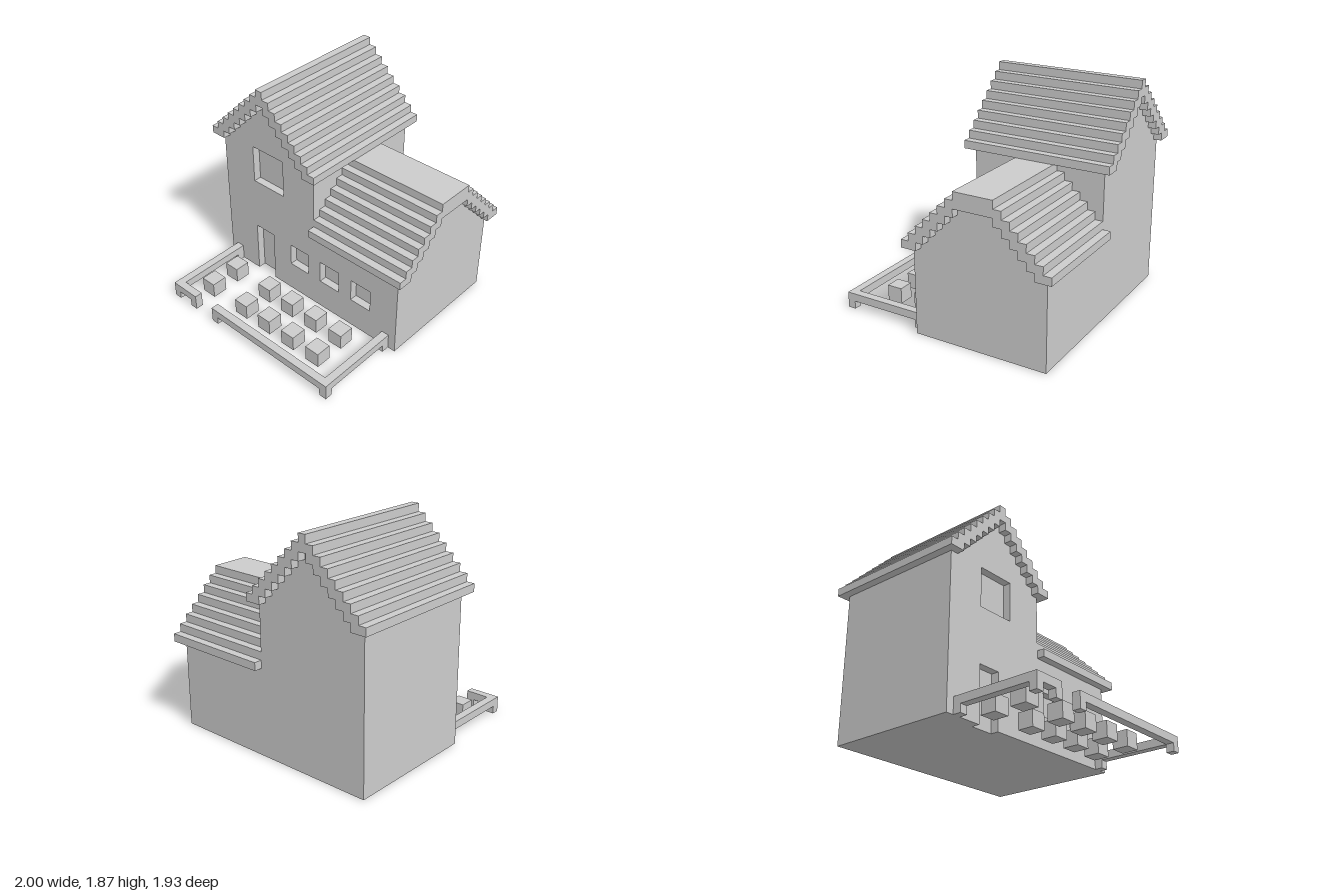
import * as THREE from 'three';

// Everything sits on a block grid: 1 block = 1/15 unit.
const U = 1 / 15;
const material = new THREE.MeshStandardMaterial({ color: 0xcccccc, flatShading: true });

// Closed outline made of one-block columns, each with its own bottom and top.
function columnShape(x0, tops, bottoms) {
  const pts = [];
  const add = (x, y) => {
    const last = pts[pts.length - 1];
    if (!last || last.x !== x || last.y !== y) pts.push(new THREE.Vector2(x, y));
  };
  const n = tops.length;
  for (let i = 0; i < n; i++) {
    add(x0 + i, bottoms[i]);
    add(x0 + i + 1, bottoms[i]);
  }
  for (let i = n - 1; i >= 0; i--) {
    add(x0 + i + 1, tops[i]);
    add(x0 + i, tops[i]);
  }
  return new THREE.Shape(pts);
}

function rectHole(x0, x1, y0, y1) {
  return new THREE.Path([[x0, y0], [x0, y1], [x1, y1], [x1, y0]].map(p => new THREE.Vector2(...p)));
}

// Stepped roof: heights climb one block per column up to `cap`, then mirror.
function roofProfile(count, cap, eave) {
  const steps = Array.from({ length: count }, (_, i) => Math.min(i, count - 1 - i, cap));
  return {
    top: steps.map(s => eave + 1 + s),
    under: steps.map(s => Math.max(eave, eave - 1 + s)),
  };
}

export function createModel() {
  const model = new THREE.Group();
  model.name = 'cottage';

  const addMesh = (name, geometry, parent = model) => {
    geometry.scale(U, U, U);
    const mesh = new THREE.Mesh(geometry, material);
    mesh.name = name;
    parent.add(mesh);
  };
  const extrude = (shape, depth) => new THREE.ExtrudeGeometry(shape, { depth, bevelEnabled: false });
  const box = (name, x0, x1, y0, y1, z0, z1, parent) => {
    const g = new THREE.BoxGeometry(x1 - x0, y1 - y0, z1 - z0);
    g.translate((x0 + x1) / 2, (y0 + y1) / 2, (z0 + z1) / 2);
    addMesh(name, g, parent);
  };
  const zeros = a => a.map(() => 0);

  const main = roofProfile(17, 8, 19);
  const wing = roofProfile(19, 7, 11);

  // Main house: solid gabled body and stepped roof, running front to back
  const gable = main.under.slice(1, -1);
  addMesh('mainBody', extrude(columnShape(-14, gable, zeros(gable)), 16).translate(0, 0, -13.5));
  addMesh('mainRoof', extrude(columnShape(-15, main.top, main.under), 19).translate(0, 0, -14.5));

  // Side wing: same idea turned to run along x
  const side = wing.under.slice(2, -1);
  addMesh('wingBody', extrude(columnShape(-2.5, side, zeros(side)), 13).rotateY(Math.PI / 2).translate(1, 0, 0));
  addMesh('wingRoof', extrude(columnShape(-4.5, wing.top, wing.under), 14).rotateY(Math.PI / 2).translate(1, 0, 0));

  // Front wall, one block thick, leaving the door and windows as recesses
  const frontTops = [...gable, ...Array(13).fill(11)];
  const frontBottoms = frontTops.map((_, i) => (i >= 5 && i < 8 ? 7 : 0));
  const front = columnShape(-14, frontTops, frontBottoms);
  front.holes.push(rectHole(-9, -4, 14, 19));
  for (const x of [-3, 2, 7]) front.holes.push(rectHole(x, x + 3, 4, 7));
  addMesh('frontWall', extrude(front, 1).translate(0, 0, 2.5));

  // Garden fence with a gap for the path
  const fence = new THREE.Group();
  fence.name = 'fence';
  model.add(fence);
  for (const x of [-13, 12]) {
    box('sideRail', x, x + 1, 1, 2, 3.5, 13.5, fence);
    box('wallPost', x, x + 1, 0, 1, 3.5, 4.5, fence);
  }
  for (const [x0, x1] of [[-13, -9], [-6, 13]]) {
    box('frontRail', x0, x1, 1, 2, 13.5, 14.5, fence);
    for (const x of [x0, x1 - 1]) box('frontPost', x, x + 1, 0, 1, 13.5, 14.5, fence);
  }

  // Two rows of square bushes
  const bushes = new THREE.Group();
  bushes.name = 'bushes';
  model.add(bushes);
  for (const x of [-11, -5, -1, 3, 7]) {
    for (const z of [5.5, 9.5]) box('bush', x, x + 2, 0, 2, z, z + 2, bushes);
  }

  return model;
}
